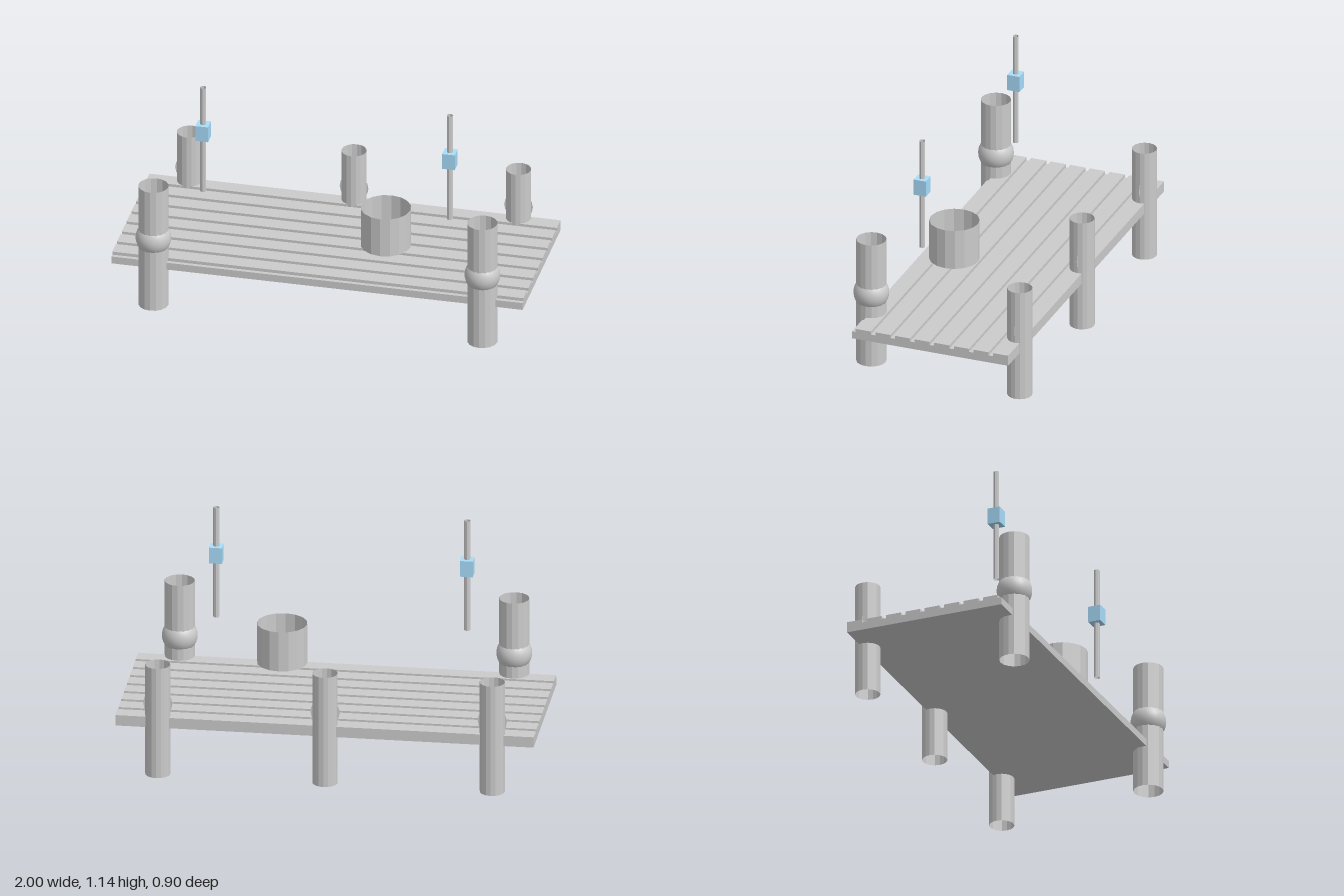
import * as THREE from 'three';

const grey = new THREE.MeshStandardMaterial({ color: 0xcccccc });
const thin = new THREE.MeshStandardMaterial({ color: 0xcccccc, side: THREE.DoubleSide, flatShading: true });
const blue = new THREE.MeshStandardMaterial({ color: 0xa8dcfa });

export function createModel() {
  const group = new THREE.Group();

  const add = (name, geometry, material, x, y, z) => {
    const mesh = new THREE.Mesh(geometry, material);
    mesh.name = name;
    mesh.position.set(x, y, z);
    group.add(mesh);
    return mesh;
  };

  // Open-ended tube standing between two heights
  const tube = (name, radius, bottom, top, sides, x, z) =>
    add(name, new THREE.CylinderGeometry(radius, radius, top - bottom, sides, 1, true),
      thin, x, (bottom + top) / 2, z);

  // Deck: grooved plank profile (z, y) swept along the full width
  const profile = new THREE.Shape();
  profile.moveTo(-0.41, 0.243);
  for (let i = 0; i < 8; i++) {
    const z = -0.41 + i * 0.1;
    if (i > 0) profile.lineTo(z, 0.28);
    profile.lineTo(z, 0.296);
    profile.lineTo(z + 0.077, 0.296);
    profile.lineTo(z + 0.077, 0.28);
  }
  profile.lineTo(0.386, 0.28);
  profile.lineTo(0.386, 0.243);
  const deck = new THREE.ExtrudeGeometry(profile, { depth: 2, bevelEnabled: false });
  deck.rotateY(-Math.PI / 2); // profile x -> z, depth -> -x
  deck.translate(1, 0, 0);
  add('deck', deck, grey, 0, 0, 0);

  // Front posts with round floats
  for (const x of [-0.8, 0.8]) {
    tube('frontPost', 0.072, 0.04, 0.68, 16, x, 0.367);
    add('float', new THREE.SphereGeometry(0.085, 24, 16), grey, x, 0.4, 0.367);
  }

  // Back posts with flat mooring rings
  for (const x of [-0.8, 0, 0.8]) {
    tube('backPost', 0.06, 0, 0.56, 16, x, -0.39);
    add('mooringRing', new THREE.RingGeometry(0.05, 0.07, 16), thin, x, 0.36, -0.39);
  }

  // Lantern rods
  for (const x of [-0.6, 0.6]) {
    tube('lanternRod', 0.015, 0.58, 1.14, 8, x, 0.187);
    add('lantern', new THREE.BoxGeometry(0.062, 0.08, 0.062), blue, x, 0.903, 0.187);
  }

  // Open barrel
  tube('barrel', 0.12, 0.38, 0.58, 16, 0.28, 0.15);

  return group;
}
